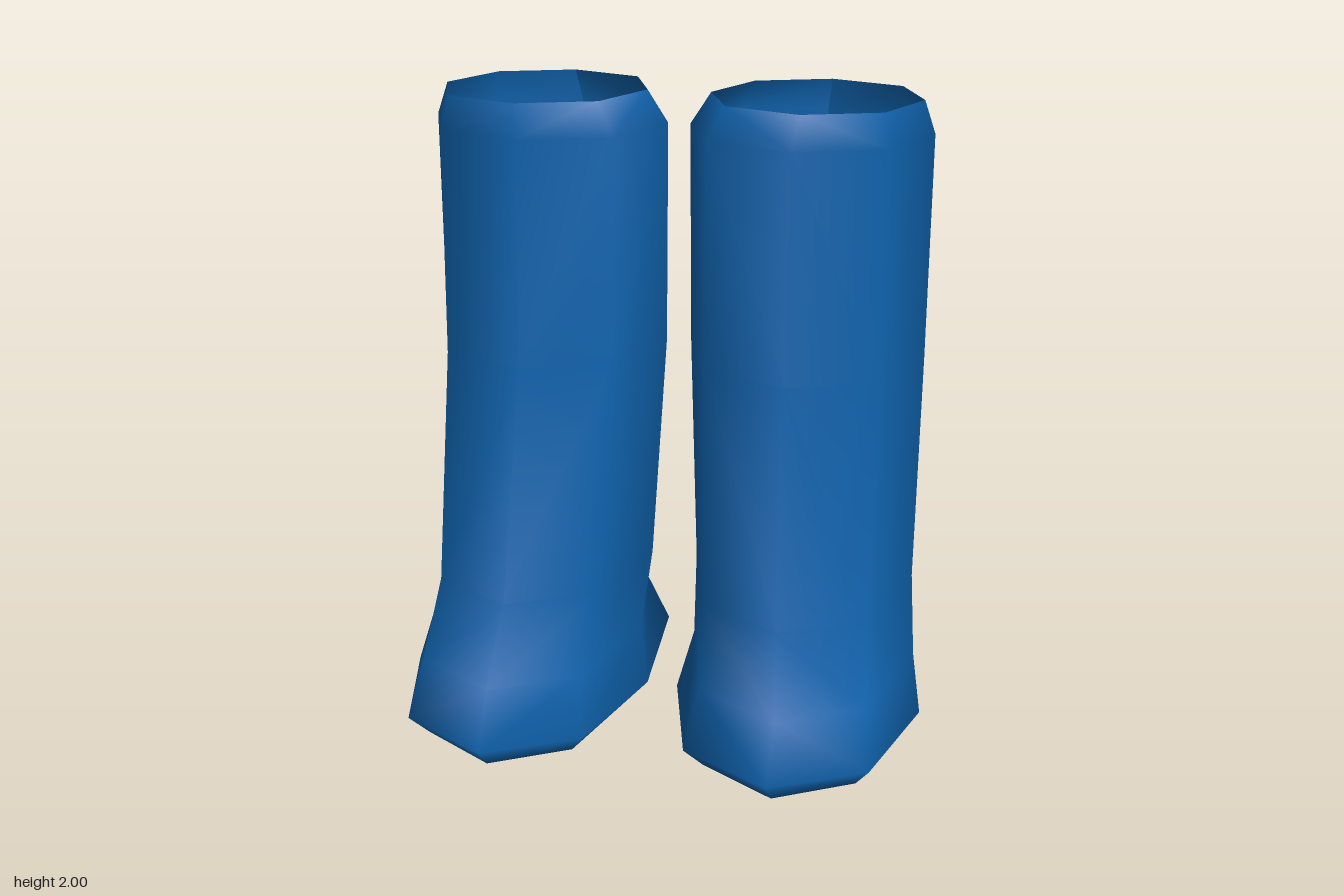
import * as THREE from 'three';

// Cross-sections from rim to sole: height, inner x, outer x, back z, widest z, front z, heel shift
const RINGS = [
  [2.0, 0.10, 0.75, -0.51, -0.175, 0.16, 0],
  [1.9, 0.035, 0.785, -0.54, -0.175, 0.2, 0],
  [1.2, 0.04, 0.785, -0.585, -0.18, 0.225, 0],
  [0.48, 0.075, 0.785, -0.625, -0.12, 0.39, 0],
  [0.25, 0.09, 0.81, -0.585, -0.02, 0.53, -0.02],
  [0.085, 0.05, 0.845, -0.625, 0.06, 0.625, -0.07],
  [0.015, 0.12, 0.78, -0.54, 0.05, 0.54, -0.06],
];
const SIDES = 8;
const DIAGONAL = 0.72;

// Eight-sided section starting and ending at the back seam
function section([y, x0, x1, back, mid, front, heel], side) {
  const points = [];
  for (let i = 0; i <= SIDES; i++) {
    const a = (i / SIDES) * Math.PI * 2;
    let s = Math.sin(a), c = -Math.cos(a);
    if (i % 2) {
      s = Math.sign(s) * DIAGONAL;
      c = Math.sign(c) * DIAGONAL;
    }
    const x = (x0 + x1) / 2 + s * (x1 - x0) / 2 + (c < -0.1 ? heel : 0);
    const z = mid + (c > 0 ? c * (front - mid) : c * (mid - back));
    // The toe end of the sole dips slightly to the ground
    const dip = y < 0.05 && c > 0.1 ? 0.015 * c : 0;
    points.push(side * x, y - dip, z);
  }
  return points;
}

function makeGeometry(positions, index, side) {
  // Mirrored copies need their corners reversed
  if (side < 0) {
    for (let i = 0; i < index.length; i += 3) {
      [index[i + 1], index[i + 2]] = [index[i + 2], index[i + 1]];
    }
  }
  const g = new THREE.BufferGeometry();
  g.setAttribute('position', new THREE.Float32BufferAttribute(positions, 3));
  g.setIndex(index);
  g.computeVertexNormals();
  return g;
}

// Smooth open shaft and foot, with a seam down the back
function upperGeometry(side) {
  const positions = RINGS.flatMap((r) => section(r, side));
  const index = [];
  const w = SIDES + 1;
  for (let r = 0; r < RINGS.length - 1; r++) {
    for (let i = 0; i < SIDES; i++) {
      const a = r * w + i, b = a + 1, c = a + w, d = c + 1;
      index.push(a, b, c, b, d, c);
    }
  }
  return makeGeometry(positions, index, side);
}

// Flat sole closing the bottom with a hard edge
function soleGeometry(side) {
  const positions = section(RINGS[RINGS.length - 1], side);
  positions.push(side * 0.45, 0.015, 0.05);
  const index = [];
  for (let i = 0; i < SIDES; i++) index.push(SIDES + 1, i, i + 1);
  return makeGeometry(positions, index, side);
}

export function createModel() {
  const model = new THREE.Group();
  model.name = 'boots';
  const blue = new THREE.MeshStandardMaterial({ color: 0x0f62ac, side: THREE.DoubleSide });
  blue.name = 'blue';

  for (const [name, side] of [['leftBoot', 1], ['rightBoot', -1]]) {
    const boot = new THREE.Group();
    boot.name = name;
    const upper = new THREE.Mesh(upperGeometry(side), blue);
    upper.name = 'upper';
    const sole = new THREE.Mesh(soleGeometry(side), blue);
    sole.name = 'sole';
    boot.add(upper, sole);
    model.add(boot);
  }
  return model;
}
